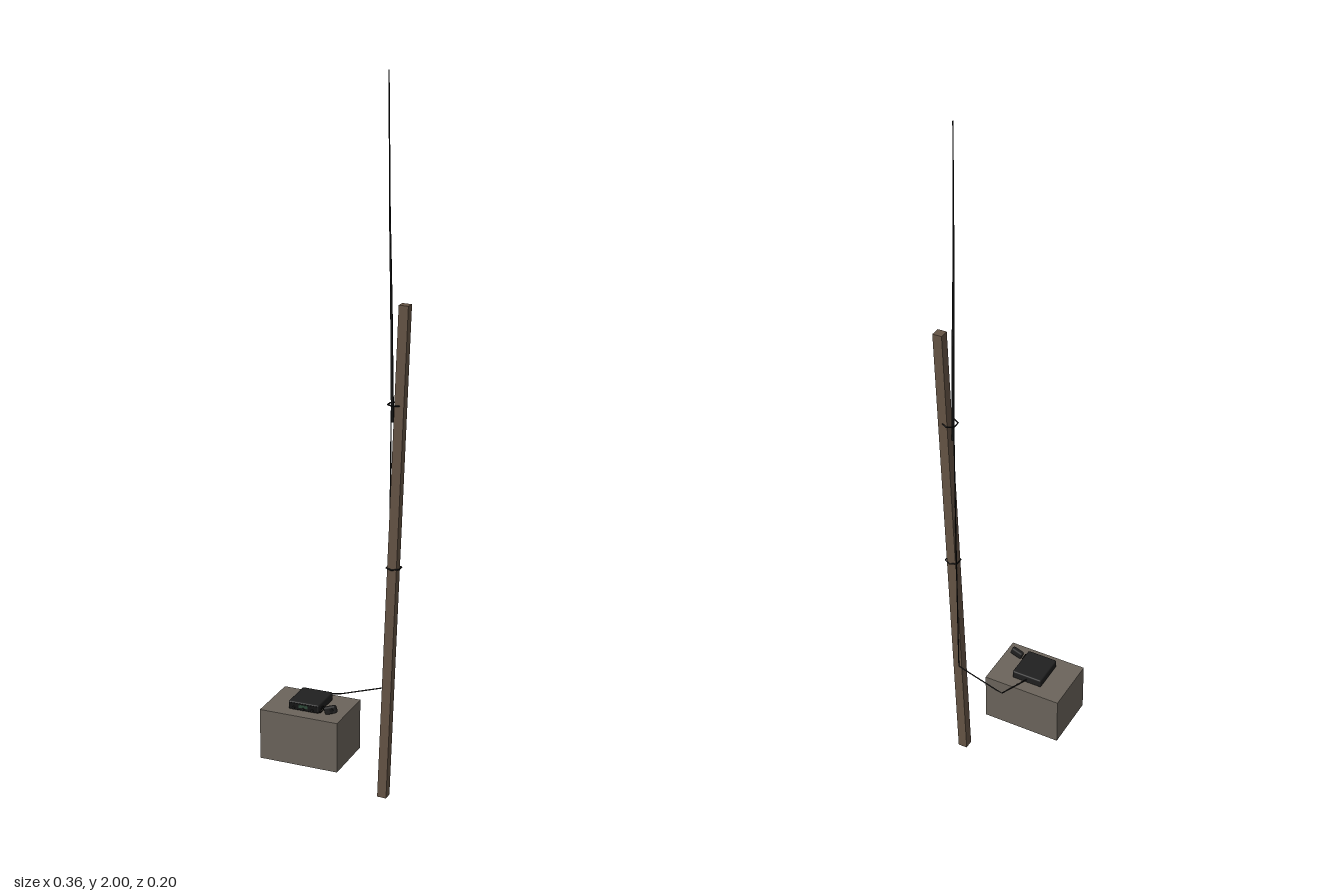
import * as THREE from 'three';
import { RoundedBoxGeometry } from 'three/addons/geometries/RoundedBoxGeometry.js';

const material = (color) => new THREE.MeshStandardMaterial({ color });
const V = (x, y, z) => new THREE.Vector3(x, y, z);

export function createModel() {
  const model = new THREE.Group();
  const wood = material(0x655445), crateGrey = material(0x6b645b);
  const black = material(0x202020), cableBlack = material(0x141414), green = material(0x2f4a3a);

  function add(name, geometry, mat, x = 0, y = 0, z = 0, parent = model) {
    const mesh = new THREE.Mesh(geometry, mat);
    mesh.name = name;
    mesh.position.set(x, y, z);
    parent.add(mesh);
    return mesh;
  }

  // Tapered rod between two points
  function rod(name, a, b, r0, r1, sides = 6) {
    const dir = b.clone().sub(a);
    const mid = a.clone().add(b).multiplyScalar(0.5);
    const mesh = add(name, new THREE.CylinderGeometry(r1, r0, dir.length(), sides), cableBlack, mid.x, mid.y, mid.z);
    mesh.quaternion.setFromUnitVectors(V(0, 1, 0), dir.normalize());
    return mesh;
  }

  // Straight-segment cable through a few points
  function cable(name, points, radius) {
    const path = new THREE.CurvePath();
    for (let i = 1; i < points.length; i++) path.add(new THREE.LineCurve3(points[i - 1], points[i]));
    return add(name, new THREE.TubeGeometry(path, 64, radius, 6), cableBlack);
  }

  // Crate the radio stands on
  add('crate', new THREE.BoxGeometry(0.228, 0.145, 0.165), crateGrey, -0.066, 0.2125, 0.0155);

  // Leaning wooden post
  const post = add('post', new THREE.BoxGeometry(0.0265, 1.408, 0.0265), wood, 0.1395, 0.7045, -0.076);
  post.rotation.z = -0.035;

  // Radio body with front panel, controls and feet
  const radio = new THREE.Group();
  radio.name = 'radio';
  radio.position.set(-0.065, 0.298, 0.0155);
  model.add(radio);
  add('radioBody', new RoundedBoxGeometry(0.09, 0.024, 0.099, 2, 0.004), black, 0, 0, 0, radio);
  add('frontPanel', new THREE.BoxGeometry(0.082, 0.018, 0.003), cableBlack, 0, 0, 0.049, radio);
  add('display', new THREE.BoxGeometry(0.026, 0.009, 0.002), green, 0, 0.002, 0.051, radio);
  for (const x of [-0.028, 0, 0.027]) {
    const knob = add('knob', new THREE.CylinderGeometry(0.0038, 0.0038, 0.007, 12), black, x, -0.004, 0.053, radio);
    knob.rotation.x = Math.PI / 2;
  }
  for (const x of [-0.035, 0.035]) for (const z of [-0.038, 0.038])
    add('foot', new THREE.BoxGeometry(0.008, 0.003, 0.008), cableBlack, x, -0.0115, z, radio);

  // Hand microphone leaning beside the radio
  const microphone = new THREE.Group();
  microphone.name = 'microphone';
  microphone.position.set(0.01, 0.299, 0.052);
  microphone.rotation.z = 0.35;
  model.add(microphone);
  add('microphoneBody', new RoundedBoxGeometry(0.036, 0.022, 0.015, 2, 0.005), black, 0, 0, 0, microphone);
  const grille = add('microphoneGrille', new THREE.CylinderGeometry(0.006, 0.006, 0.002, 12), cableBlack, 0.006, 0, 0.0078, microphone);
  grille.rotation.x = Math.PI / 2;

  // Coiled microphone cord
  const coil = [];
  for (let i = 0; i <= 48; i++) {
    const a = (i / 48) * Math.PI * 6;
    coil.push(V(-0.018 + 0.005 * Math.cos(a), 0.295 + 0.005 * Math.sin(a), 0.04 + 0.024 * i / 48));
  }
  add('coiledCord', new THREE.TubeGeometry(new THREE.CatmullRomCurve3(coil), 96, 0.0012, 5), cableBlack);

  // Antenna cable from the back of the radio, up along the post
  cable('antennaCable', [
    V(-0.065, 0.297, -0.033), V(-0.02, 0.278, -0.098), V(0.117, 0.322, -0.098),
    V(0.122, 0.7, -0.09), V(0.126, 1.12, -0.081)], 0.0018);

  // Whip antenna in thinning sections
  const joints = [V(0.131, 1.09, -0.078), V(0.126, 1.41, -0.075), V(0.12, 1.65, -0.074), V(0.115, 2, -0.073)];
  const radii = [0.0042, 0.0032, 0.0023, 0.0014];
  for (let i = 0; i < 3; i++) rod('antennaSection', joints[i], joints[i + 1], radii[i], radii[i + 1]);

  // Hexagonal straps holding the cable and antenna to the post
  for (const y of [0.685, 1.14]) {
    const strap = add('strap', new THREE.TorusGeometry(0.021, 0.002, 6, 6), cableBlack, 0.14, y, -0.076);
    strap.rotation.set(Math.PI / 2, 0, Math.PI / 6);
  }
  return model;
}
